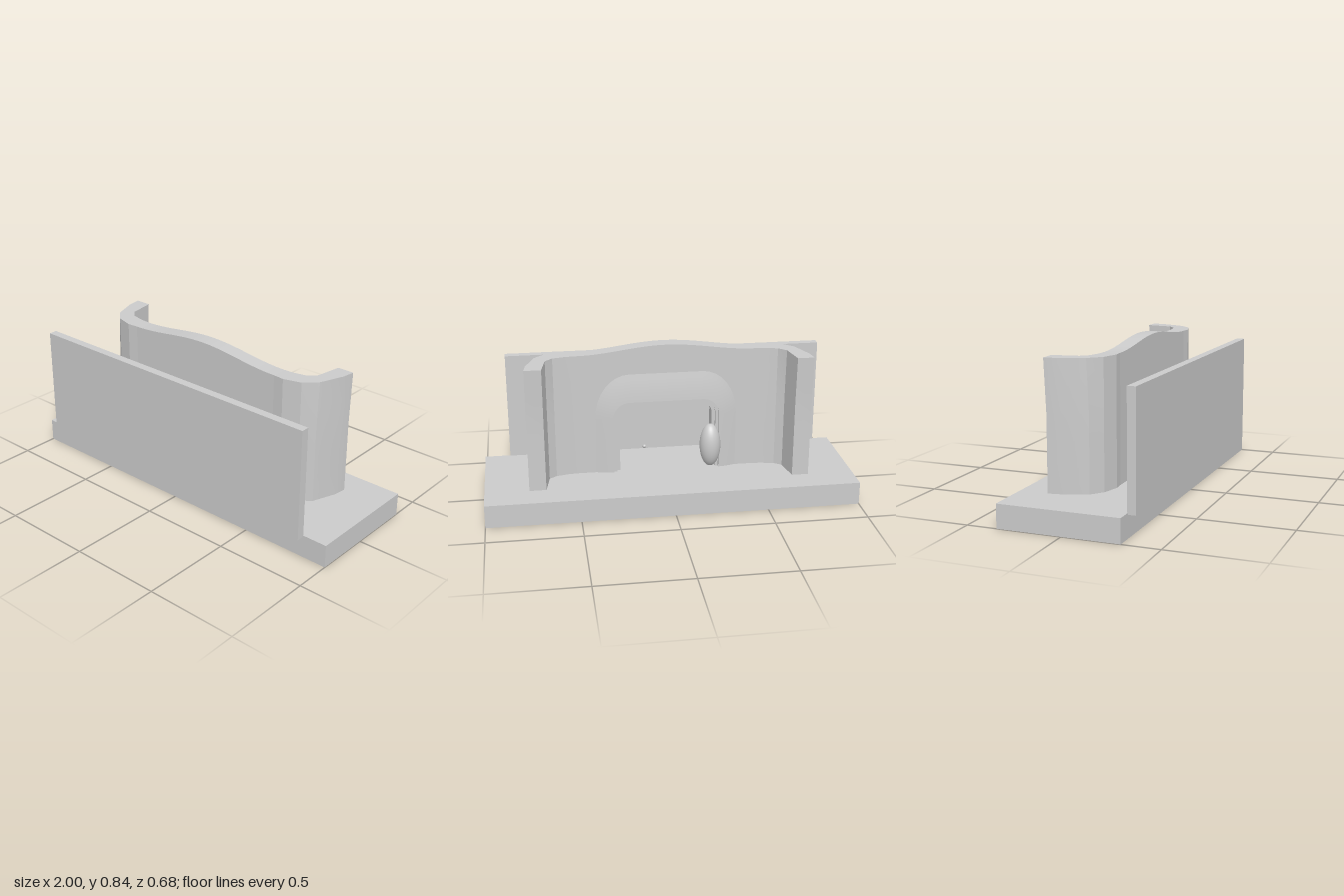
import * as THREE from 'three';
import { toCreasedNormals } from 'three/addons/utils/BufferGeometryUtils.js';

const BASE = 0.125;      // top of the base slab
const WALL_TOP = 0.8;
const FRONT = 0.085;     // front face of the straight wall
const JOIN = 0.48;       // where the straight wall meets the curved wings
const CX = 0.006;        // wall is a touch off centre

const material = new THREE.MeshStandardMaterial({ color: 0xcccccc, side: THREE.DoubleSide });

function part(name, geometry, x = 0, y = 0, z = 0) {
  const mesh = new THREE.Mesh(geometry, material);
  mesh.name = name;
  mesh.position.set(x, y, z);
  return mesh;
}

// Box given by its limits
function block(name, x0, x1, y0, y1, z0, z1) {
  return part(name, new THREE.BoxGeometry(x1 - x0, y1 - y0, z1 - z0),
    (x0 + x1) / 2, (y0 + y1) / 2, (z0 + z1) / 2);
}

// Rounded doorway outline, grown or shrunk by an offset
function arch(offset) {
  const w = 0.29, top = 0.53, r = 0.09, n = 8;
  const rise = offset > 0 ? 1.6 : 1;
  const pts = [[-w - offset, BASE - 0.005]];
  for (const side of [-1, 1]) {
    for (let i = 0; i <= n; i++) {
      const t = (i / n) * Math.PI / 2;
      const a = side < 0 ? Math.PI - t : Math.PI / 2 - t;
      pts.push([side * (w - r) + Math.cos(a) * (r + offset),
        top - r + Math.sin(a) * (r + offset * rise)]);
    }
  }
  pts.push([w + offset, BASE - 0.005]);
  return pts;
}

// Straight wall with a humped top and the doorway cut from its foot
function middleWall() {
  const shape = new THREE.Shape();
  shape.moveTo(-JOIN, BASE - 0.005);
  for (const [x, y] of arch(0)) shape.lineTo(x, y);
  shape.lineTo(JOIN, BASE - 0.005);
  const n = 32;
  for (let i = 0; i <= n; i++) {
    const x = JOIN - (2 * JOIN * i) / n;
    shape.lineTo(x, WALL_TOP + 0.021 * (1 + Math.cos(Math.PI * x / JOIN)));
  }
  const g = new THREE.ExtrudeGeometry(shape, { depth: FRONT, bevelEnabled: false });
  return toCreasedNormals(g, 0.5);
}

// Curved end of the wall, swept up from its plan outline
function wing(side) {
  const plan = [
    [JOIN, FRONT], [0.54, 0.09], [0.635, 0.063], [0.7, 0], [0.748, -0.13], [0.758, -0.2],
    [0.668, -0.2], [0.645, -0.06], [0.605, -0.02], [0.535, -0.004], [JOIN, 0],
  ];
  const shape = new THREE.Shape(plan.map(([x, z]) => new THREE.Vector2(side * x, -z)));
  const g = new THREE.ExtrudeGeometry(shape,
    { depth: WALL_TOP - BASE, steps: 5, bevelEnabled: false });
  g.rotateX(-Math.PI / 2).translate(0, BASE, 0);
  // The return leans back slightly above the doorway height
  const p = g.attributes.position;
  for (let i = 0; i < p.count; i++) {
    if (Math.abs(p.getX(i)) > 0.62 && p.getZ(i) < 0.03) {
      const k = Math.min(1, (WALL_TOP - p.getY(i)) / 0.27);
      p.setZ(i, p.getZ(i) + 0.012 * k);
    }
  }
  return toCreasedNormals(g, 0.25);
}

// Swollen surround and stepped reveal: [offset, z] profile carried round the doorway
function surround() {
  const profile = [[0.1, 0.001], [0.075, -0.006], [0.035, -0.016], [0, -0.02], [0, -0.004],
    [-0.018, -0.004], [-0.018, 0.012], [-0.036, 0.012], [-0.036, FRONT], [0, FRONT]];
  const rows = profile.map(([o, z]) => arch(o).map(([x, y]) => [x, y, z]));
  const n = rows[0].length;
  const index = [];
  for (let r = 0; r < rows.length - 1; r++) {
    for (let i = 0; i < n - 1; i++) {
      const a = r * n + i, b = a + n;
      index.push(a, a + 1, b, a + 1, b + 1, b);
    }
  }
  const g = new THREE.BufferGeometry();
  g.setAttribute('position', new THREE.Float32BufferAttribute(rows.flat(2), 3));
  g.setIndex(index);
  return toCreasedNormals(g.toNonIndexed(), 0.6);
}

export function createModel() {
  const model = new THREE.Group();
  model.name = 'stageSet';

  model.add(block('base', -1, 1, 0, BASE, -0.34, 0.302));
  model.add(block('frontPanel', -0.91, 0.86, 0.115, 0.72, 0.297, 0.342));

  // Curved wall with doorway
  const wall = new THREE.Group();
  wall.name = 'curvedWall';
  wall.position.x = CX;
  wall.add(part('middleWall', middleWall()));
  wall.add(part('leftWing', wing(1)), part('rightWing', wing(-1)));
  wall.add(part('doorSurround', surround()));
  model.add(wall);

  // Egg-shaped body and tiny bead behind the doorway
  const egg = part('egg', new THREE.SphereGeometry(1, 32, 20), -0.225, 0.285, -0.075);
  egg.scale.set(0.057, 0.122, 0.06);
  model.add(egg);
  model.add(part('bead', new THREE.SphereGeometry(0.01, 12, 8), 0.135, 0.295, -0.07));

  return model;
}
